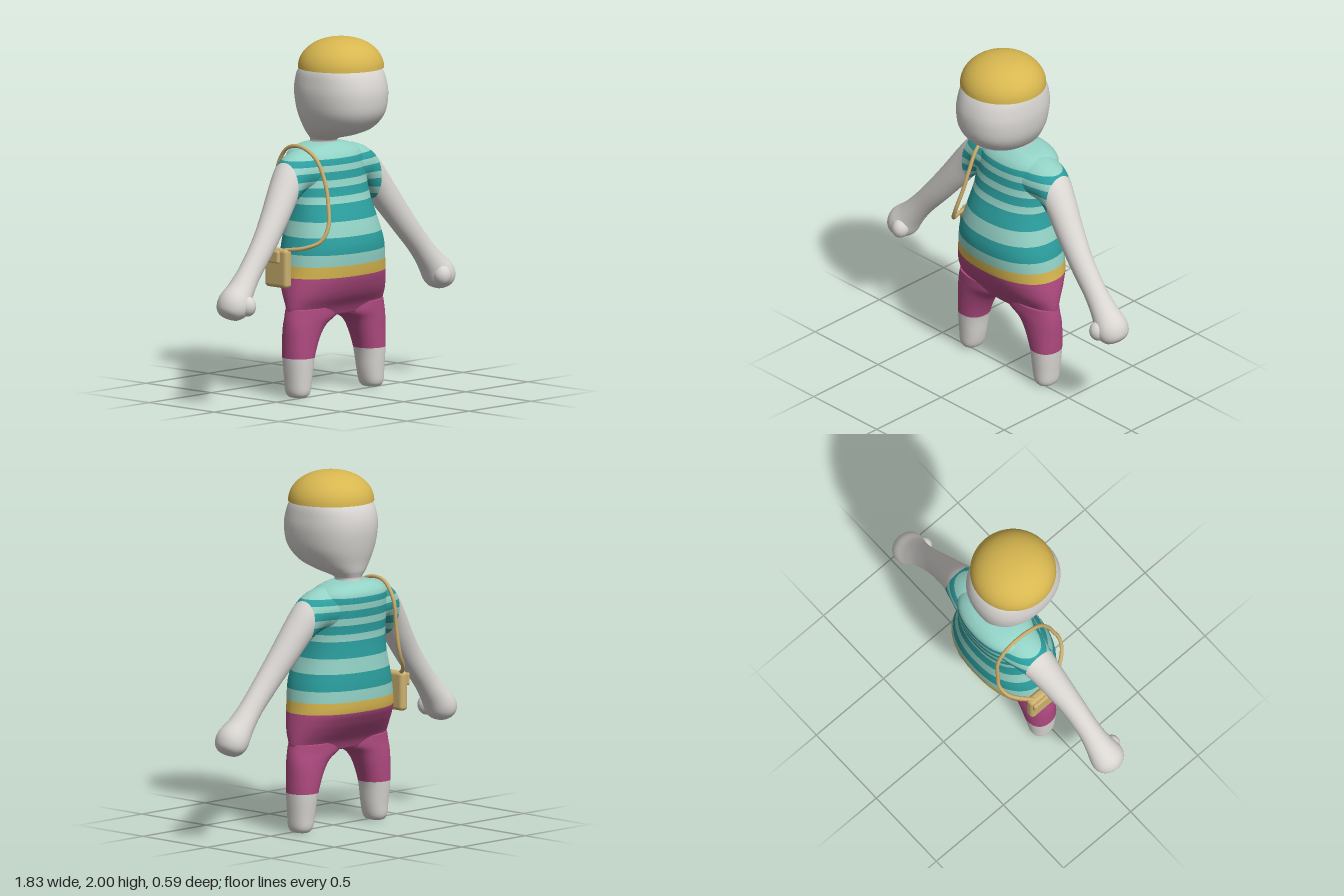
import * as THREE from 'three';
import { RoundedBoxGeometry } from 'three/addons/geometries/RoundedBoxGeometry.js';

const mat = (name, color, extra = {}) => Object.assign(new THREE.MeshStandardMaterial({ color, ...extra }), { name });

// Catmull-Rom resampling of rows of numbers
function smooth(keys, steps = 5) {
  const at = i => keys[Math.min(Math.max(i, 0), keys.length - 1)];
  const out = [];
  for (let i = 0; i < keys.length - 1; i++) for (let s = 0; s < steps; s++) {
    const t = s / steps;
    out.push(keys[i].map((_, k) => {
      const [a, b, c, d] = [at(i - 1)[k], at(i)[k], at(i + 1)[k], at(i + 2)[k]];
      return b + 0.5 * t * (c - a + t * (2 * a - 5 * b + 4 * c - d + t * (3 * (b - c) + d - a)));
    }));
  }
  out.push(keys[keys.length - 1]);
  return out;
}

// Skin over closed rings, with both ends capped
function loft(rings) {
  const n = rings[0].length, pts = rings.flat(), index = [];
  for (let i = 0; i < rings.length - 1; i++) for (let j = 0; j < n; j++) {
    const a = i * n + j, b = i * n + (j + 1) % n;
    index.push(a, a + n, b, b, a + n, b + n);
  }
  const cap = (ring, base, flip) => {
    const c = ring.reduce((s, p) => s.add(p), new THREE.Vector3()).divideScalar(n);
    const k = pts.push(c) - 1;
    for (let j = 0; j < n; j++) {
      const a = base + j, b = base + (j + 1) % n;
      index.push(...(flip ? [k, b, a] : [k, a, b]));
    }
  };
  cap(rings[0], 0, false);
  cap(rings[rings.length - 1], (rings.length - 1) * n, true);
  const g = new THREE.BufferGeometry().setFromPoints(pts);
  g.setIndex(index);
  g.computeVertexNormals();
  return g.toNonIndexed();
}

const SIDES = 44;
const angles = Array.from({ length: SIDES }, (_, j) => (j / SIDES) * Math.PI * 2);
const power = (v, e) => Math.sign(v) * Math.abs(v) ** (2 / e);

// Upright form; rows are [y, centre x, half width, front z, back z]
const upright = (keys, e = 2) => loft(smooth(keys).map(([y, x, w, f, b]) => angles.map(a =>
  new THREE.Vector3(x + w * power(Math.cos(a), e), y, (f + b) / 2 + (f - b) / 2 * power(Math.sin(a), e)))));

// Limb in the xy plane; rows are [x, y, z, radius, z radius]
function limb(keys) {
  const rows = smooth(keys);
  return loft(rows.map(([x, y, z, r, rz], i) => {
    const p = rows[Math.max(i - 1, 0)], q = rows[Math.min(i + 1, rows.length - 1)];
    const len = Math.hypot(q[0] - p[0], q[1] - p[1]);
    const ux = (q[1] - p[1]) / len, uy = -(q[0] - p[0]) / len;
    return angles.map(a => new THREE.Vector3(
      x + ux * r * Math.cos(a), y + uy * r * Math.cos(a), z + rz * Math.sin(a)));
  }));
}

// Keep the part of a surface lying between two planes across an axis (0 x, 1 y)
function slice(geo, axis, lo, hi) {
  const P = geo.attributes.position.array, N = geo.attributes.normal.array, pos = [], nor = [];
  const cut = (poly, dist) => poly.flatMap((a, i) => {
    const b = poly[(i + 1) % poly.length], da = dist(a), db = dist(b), out = da >= 0 ? [a] : [];
    if ((da >= 0) !== (db >= 0)) out.push(a.map((v, k) => v + (b[k] - v) * da / (da - db)));
    return out;
  });
  for (let i = 0; i < P.length; i += 9) {
    let poly = [0, 3, 6].map(k => [...P.slice(i + k, i + k + 3), ...N.slice(i + k, i + k + 3)]);
    poly = cut(cut(poly, v => v[axis] - lo), v => hi - v[axis]);
    for (let k = 1; k < poly.length - 1; k++) for (const v of [poly[0], poly[k], poly[k + 1]]) {
      pos.push(...v.slice(0, 3));
      nor.push(...v.slice(3));
    }
  }
  const g = new THREE.BufferGeometry();
  g.setAttribute('position', new THREE.Float32BufferAttribute(pos, 3));
  g.setAttribute('normal', new THREE.Float32BufferAttribute(nor, 3));
  return g;
}

// Mirror across x, keeping faces outward
function mirror(geo) {
  const g = geo.index ? geo.toNonIndexed() : geo.clone();
  for (const name of ['position', 'normal']) {
    const src = g.attributes[name].array.slice(), dst = g.attributes[name].array;
    for (let i = 0; i < src.length; i += 3) {
      const t = i % 9, j = t === 3 ? i + 3 : t === 6 ? i - 3 : i;
      dst[i] = -src[j]; dst[i + 1] = src[j + 1]; dst[i + 2] = src[j + 2];
    }
  }
  return g;
}

export function createModel() {
  const model = new THREE.Group();
  const skin = mat('pale skin', 0xd9d6d2), dark = mat('dark teal', 0x2c9f9f);
  const light = mat('light teal', 0x93d2c6), gold = mat('gold', 0xd8b750);
  const plum = mat('plum', 0xaf4a80), tan = mat('tan leather', 0xcdb070);
  const add = (name, geo, material) => {
    if (!geo.attributes.position.count) return;
    const m = new THREE.Mesh(geo, material);
    m.name = name;
    model.add(m);
  };
  const pair = (name, geo, material) => {
    add('left' + name, geo, material);
    add('right' + name, mirror(geo), material);
  };

  // Shirt stripes, from the waist up, alternating light and dark
  const edges = [0.74, 0.805, 0.9, 0.985, 1.08, 1.12, 1.17, 1.21, 1.255, 1.29, 1.325, 1.5];
  const stripes = edges.slice(1).map((hi, i) => [edges[i], hi, i % 2 ? dark : light]);

  // Torso with trousers, belt and striped shirt
  const torso = upright([
    [0.45, 0, 0.355, 0.05, -0.115], [0.5, 0, 0.365, 0.075, -0.14], [0.56, 0, 0.364, 0.12, -0.19],
    [0.62, 0, 0.357, 0.15, -0.235], [0.69, 0, 0.345, 0.17, -0.27], [0.82, 0, 0.325, 0.182, -0.275],
    [0.9, 0, 0.305, 0.17, -0.27], [1.0, 0, 0.278, 0.14, -0.262], [1.1, 0, 0.262, 0.1, -0.258],
    [1.2, 0, 0.258, 0.075, -0.267], [1.3, 0, 0.25, 0.058, -0.276], [1.35, 0, 0.23, 0.035, -0.268],
    [1.385, 0, 0.17, -0.005, -0.235], [1.4, 0, 0.09, -0.03, -0.2], [1.405, 0, 0.05, -0.06, -0.17],
  ], 2.25);
  add('trouserSeat', slice(torso, 1, 0, 0.675), plum);
  add('belt', slice(torso, 1, 0.675, 0.74), gold);
  stripes.forEach(([lo, hi, m]) => add('shirtStripe', slice(torso, 1, lo, hi), m));

  // Legs
  const leg = upright([
    [0, 0.295, 0.025, 0.0, -0.07], [0.008, 0.295, 0.047, 0.025, -0.09], [0.035, 0.294, 0.062, 0.04, -0.105],
    [0.1, 0.29, 0.072, 0.045, -0.112], [0.22, 0.285, 0.086, 0.052, -0.125], [0.33, 0.264, 0.11, 0.056, -0.13],
    [0.4, 0.237, 0.138, 0.06, -0.13], [0.45, 0.19, 0.181, 0.065, -0.13], [0.5, 0.183, 0.178, 0.065, -0.13],
  ], 2.2);
  pair('TrouserLeg', slice(leg, 1, 0.225, 1), plum);
  pair('Foot', slice(leg, 1, -1, 0.225), skin);

  // Arms, with striped sleeves ending at an upright cut
  const arm = limb([
    [0.08, 1.25, -0.1, 0.13, 0.14], [0.2, 1.25, -0.1, 0.125, 0.13], [0.28, 1.225, -0.095, 0.106, 0.11],
    [0.36, 1.15, -0.08, 0.088, 0.092], [0.45, 1.03, -0.06, 0.08, 0.08], [0.56, 0.89, -0.04, 0.072, 0.068],
    [0.68, 0.75, -0.03, 0.066, 0.065], [0.76, 0.655, -0.025, 0.074, 0.078], [0.815, 0.59, -0.02, 0.09, 0.095],
    [0.845, 0.548, -0.02, 0.08, 0.09], [0.862, 0.52, -0.02, 0.055, 0.065], [0.868, 0.51, -0.02, 0.025, 0.03],
  ]);
  const sleeve = slice(arm, 0, -1, 0.335);
  stripes.forEach(([lo, hi, m]) => pair('SleeveStripe', slice(sleeve, 1, lo, hi), m));
  pair('Arm', slice(arm, 0, 0.335, 2), skin);
  const thumb = new THREE.SphereGeometry(0.052, 24, 16).scale(0.95, 1.1, 1).translate(0.785, 0.575, 0.047);
  pair('Thumb', thumb, skin);

  // Head and neck
  add('head', upright([
    [1.36, 0, 0.08, -0.03, -0.2], [1.41, 0, 0.07, -0.04, -0.19], [1.43, 0, 0.085, 0.0, -0.195],
    [1.455, 0, 0.12, 0.1, -0.205], [1.5, 0, 0.168, 0.205, -0.215], [1.58, 0, 0.213, 0.273, -0.235],
    [1.68, 0, 0.23, 0.29, -0.25], [1.76, 0, 0.226, 0.278, -0.245], [1.83, 0, 0.21, 0.245, -0.215],
    [1.9, 0, 0.16, 0.18, -0.14], [1.94, 0, 0.08, 0.09, -0.06],
  ], 2.25), skin);

  // Domed cap with a flat underside
  const dome = Array.from({ length: 17 }, (_, i) => {
    const a = (i / 16) * Math.PI / 2;
    return new THREE.Vector2(i === 16 ? 0 : 0.24 * Math.cos(a) ** 0.92, 1.83 + 0.17 * Math.sin(a));
  });
  add('cap', new THREE.LatheGeometry(dome, 48).translate(0, 0, 0.018), gold);
  add('capUnderside', new THREE.CircleGeometry(0.24, 48).rotateX(Math.PI / 2).translate(0, 1.83, 0.018), gold);

  // Shoulder bag and its strap
  const path = [
    [-0.37, 0.835, -0.05], [-0.335, 0.85, 0.05], [-0.28, 0.89, 0.13], [-0.24, 0.97, 0.15], [-0.21, 1.1, 0.12],
    [-0.2, 1.2, 0.09], [-0.2, 1.33, 0.02], [-0.2, 1.39, -0.1], [-0.2, 1.375, -0.2], [-0.2, 1.28, -0.27],
    [-0.21, 1.12, -0.283], [-0.23, 0.98, -0.288], [-0.28, 0.9, -0.265], [-0.34, 0.85, -0.2], [-0.37, 0.835, -0.16],
  ].map(p => new THREE.Vector3(...p));
  add('bagStrap', new THREE.TubeGeometry(new THREE.CatmullRomCurve3(path), 90, 0.011, 8), tan);
  add('bag', new RoundedBoxGeometry(0.056, 0.22, 0.17, 4, 0.022).translate(-0.37, 0.73, -0.11), tan);
  add('bagFlap', new RoundedBoxGeometry(0.024, 0.07, 0.12, 3, 0.01).translate(-0.405, 0.795, -0.13), tan);
  return model;
}
